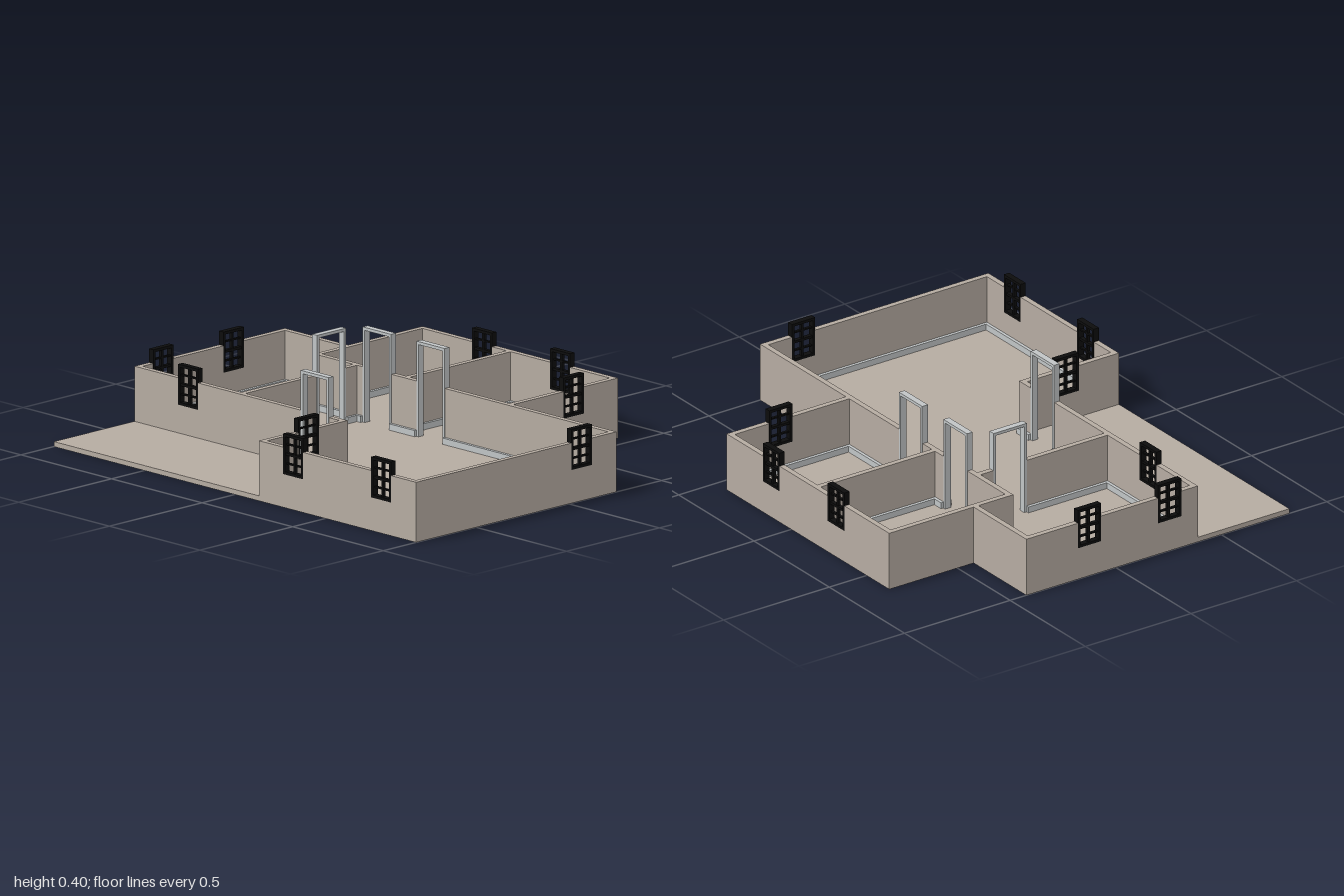
import * as THREE from 'three';

const mat = (name, color) => new THREE.MeshStandardMaterial({ name, color });

const FLOOR = 0.02, TOP = 0.24, DOOR_TOP = 0.4, SILL = 0.133, HEAD = 0.295, T = 0.023;

// Walls: axis they run along, lower face across it, start, end
const WALLS = [
  ['x', -0.823, -0.65, 0.43], ['x', -0.423, -1, -0.65], ['x', -0.258, -0.65, 1],
  ['x', 0.366, -1, 0.155], ['x', 0.8, 0.132, 1],
  ['z', -1, -0.423, 0.389], ['z', -0.65, -0.823, -0.235], ['z', -0.433, -0.258, 0.389],
  ['z', -0.163, -0.823, -0.235], ['z', 0.407, -0.823, -0.235], ['z', 0.977, -0.258, 0.823],
  ['z', 0.132, 0.366, 0.823],
];

// Openings: axis, lower wall face, start, end
const DOORS = [
  ['x', 0.366, -0.08, 0.075], ['x', -0.258, -0.08, 0.075],
  ['x', -0.258, -0.377, -0.22], ['z', -0.433, -0.175, -0.018],
];
const WINDOWS = [
  ['x', 0.366, -0.758, -0.648], ['x', 0.8, 0.267, 0.377], ['x', 0.8, 0.753, 0.863],
  ['x', -0.823, -0.353, -0.243], ['x', -0.823, 0.078, 0.188],
  ['z', 0.407, -0.638, -0.528], ['z', 0.977, -0.124, -0.014],
  ['z', -1, -0.179, -0.069], ['z', -1, 0.2, 0.31], ['z', 0.132, 0.522, 0.632],
];

// Room outlines as [x, z], interior on the +z side of a +x edge
const ROOMS = [
  [[-0.977, -0.4], [-0.65, -0.4], [-0.65, -0.235], [-0.433, -0.235], [-0.433, 0.366], [-0.977, 0.366]],
  [[-0.627, -0.8], [-0.163, -0.8], [-0.163, -0.258], [-0.627, -0.258]],
  [[-0.14, -0.8], [0.407, -0.8], [0.407, -0.258], [-0.14, -0.258]],
  [[-0.41, -0.235], [0.977, -0.235], [0.977, 0.8], [0.155, 0.8], [0.155, 0.366], [-0.41, 0.366]],
];

const OUTLINE = [[-1, -0.423], [-0.65, -0.423], [-0.65, -0.823], [0.43, -0.823],
  [0.43, -0.258], [1, -0.258], [1, 0.823], [-1, 0.823]];

// Box given along-wall range, height range and across-wall range
function bar(parent, name, material, axis, a0, a1, y0, y1, c0, c1) {
  const along = a1 - a0, across = c1 - c0, isX = axis === 'x';
  const geo = new THREE.BoxGeometry(isX ? along : across, y1 - y0, isX ? across : along);
  const mesh = new THREE.Mesh(geo, material);
  const a = (a0 + a1) / 2, c = (c0 + c1) / 2;
  mesh.position.set(isX ? a : c, (y0 + y1) / 2, isX ? c : a);
  mesh.name = name;
  parent.add(mesh);
}

// Pieces of a..b left after removing the gaps
function cut(a, b, gaps) {
  const out = [];
  let s = a;
  for (const [g0, g1] of [...gaps].sort((p, q) => p[0] - q[0])) {
    if (g0 > s) out.push([s, g0]);
    s = Math.max(s, g1);
  }
  if (b > s) out.push([s, b]);
  return out;
}

export function createModel() {
  const model = new THREE.Group();
  model.name = 'floorPlanHouse';
  const plaster = mat('warm grey plaster', 0xb5aba1);
  const trim = mat('light grey trim', 0xc0c4c5);
  const black = mat('black window frame', 0x0c0c0c);
  const group = (name) => {
    const g = new THREE.Group();
    g.name = name;
    model.add(g);
    return g;
  };

  // Floor slab with front terrace
  const shape = new THREE.Shape(OUTLINE.map(([x, z]) => new THREE.Vector2(x, -z)));
  const slab = new THREE.Mesh(
    new THREE.ExtrudeGeometry(shape, { depth: FLOOR, bevelEnabled: false }).rotateX(-Math.PI / 2), plaster);
  slab.name = 'floorSlab';
  model.add(slab);

  // Walls, open at doors and above window sills
  const walls = group('walls');
  for (const [axis, c, a, b] of WALLS) {
    const inWall = (o) => o[0] === axis && o[1] === c && o[2] > a && o[3] < b;
    const wins = WINDOWS.filter(inWall);
    const gaps = [...DOORS.filter(inWall), ...wins].map((o) => [o[2], o[3]]);
    for (const [s, e] of cut(a, b, gaps)) bar(walls, 'wall', plaster, axis, s, e, FLOOR, TOP, c, c + T);
    for (const w of wins) bar(walls, 'wallBelowWindow', plaster, axis, w[2], w[3], FLOOR, SILL, c, c + T);
  }

  // Skirting boards around every room, interrupted by doors
  const skirting = group('skirting');
  const D = 0.013;
  for (const room of ROOMS) {
    room.forEach(([x0, z0], i) => {
      const [x1, z1] = room[(i + 1) % room.length];
      const axis = z0 === z1 ? 'x' : 'z';
      const [p, q, c] = axis === 'x' ? [x0, x1, z0] : [z0, z1, x0];
      const inward = axis === 'x' ? Math.sign(x1 - x0) : -Math.sign(z1 - z0);
      const gaps = DOORS.filter((d) => d[0] === axis && Math.abs(d[1] + T / 2 - c) < 0.02)
        .map((d) => [d[2], d[3]]);
      for (const [s, e] of cut(Math.min(p, q), Math.max(p, q), gaps)) {
        bar(skirting, 'skirtingBoard', trim, axis, s, e, FLOOR, 0.045,
          Math.min(c, c + inward * D), Math.max(c, c + inward * D));
      }
    });
  }

  // Door frames: two posts and a header
  for (const [axis, c, a, b] of DOORS) {
    const g = group('doorFrame');
    const w = 0.012, c0 = c - 0.002, c1 = c + T + 0.002;
    bar(g, 'doorPost', trim, axis, a, a + w, FLOOR, DOOR_TOP, c0, c1);
    bar(g, 'doorPost', trim, axis, b - w, b, FLOOR, DOOR_TOP, c0, c1);
    bar(g, 'doorHeader', trim, axis, a + w, b - w, DOOR_TOP - w, DOOR_TOP, c0, c1);
  }

  // Windows: outer frame, meeting rail and thin glazing bars
  for (const [axis, c, a, b] of WINDOWS) {
    const g = group('window');
    const w = 0.011, c0 = c - 0.001, c1 = c + T + 0.001, m = (a + b) / 2, mid = (SILL + HEAD) / 2;
    for (const s of [a, b - w]) bar(g, 'windowJamb', black, axis, s, s + w, SILL, HEAD, c0, c1);
    for (const y of [SILL, HEAD - w]) bar(g, 'windowRail', black, axis, a + w, b - w, y, y + w, c0, c1);
    bar(g, 'meetingRail', black, axis, a + w, b - w, mid - 0.005, mid + 0.005, c + 0.003, c + T - 0.003);
    bar(g, 'mullion', black, axis, m - 0.005, m + 0.005, SILL + w, HEAD - w, c + 0.005, c + T - 0.005);
    for (const y of [(SILL + mid) / 2 + 0.002, (HEAD + mid) / 2 - 0.002]) {
      bar(g, 'glazingBar', black, axis, a + w, b - w, y - 0.003, y + 0.003, c + 0.006, c + T - 0.006);
    }
  }
  return model;
}
